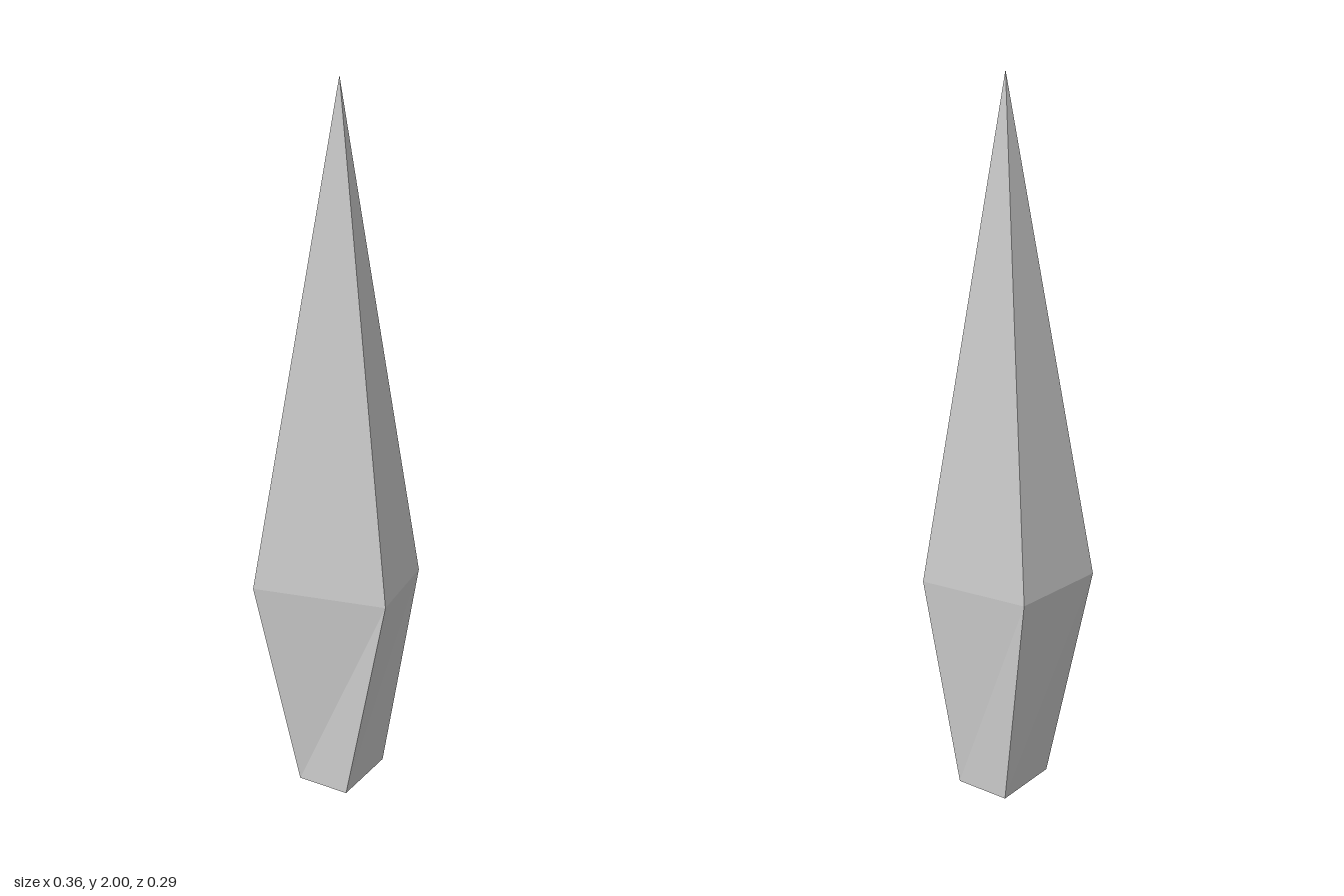
import * as THREE from 'three';

// Joins two four-cornered rings (counter-clockwise from above) with flat side faces.
function addSides(out, lower, upper) {
  for (let i = 0; i < 4; i++) {
    const j = (i + 1) % 4;
    out.push(lower[i], lower[j], upper[j], lower[i], upper[j], upper[i]);
  }
}

function flatMesh(name, corners, material) {
  const geometry = new THREE.BufferGeometry();
  geometry.setAttribute('position', new THREE.Float32BufferAttribute(corners.flat(), 3));
  geometry.computeVertexNormals();
  const mesh = new THREE.Mesh(geometry, material);
  mesh.name = name;
  return mesh;
}

export function createModel() {
  const group = new THREE.Group();
  group.name = 'crystalShard';
  const material = new THREE.MeshStandardMaterial({ color: 0xcccccc, flatShading: true });

  // Irregular cross-sections at the foot and at the widest point
  const ring = (y, points) => points.map(([x, z]) => [x, y, z]);
  const foot = ring(0, [[0.07, 0.085], [0.1, -0.105], [-0.055, -0.105], [-0.08, 0.079]]);
  const waist = ring(0.645, [[0.182, 0.082], [0.182, -0.147], [-0.123, -0.116], [-0.182, 0.145]]);
  const tip = [0, 2, -0.014];

  // Tapered lower body, closed underneath
  const body = [];
  addSides(body, foot, waist);
  body.push(foot[0], foot[2], foot[1], foot[0], foot[3], foot[2]);
  group.add(flatMesh('lowerBody', body, material));

  // Long pointed spire
  const spire = [];
  for (let i = 0; i < 4; i++) spire.push(waist[i], waist[(i + 1) % 4], tip);
  group.add(flatMesh('spire', spire, material));

  return group;
}
